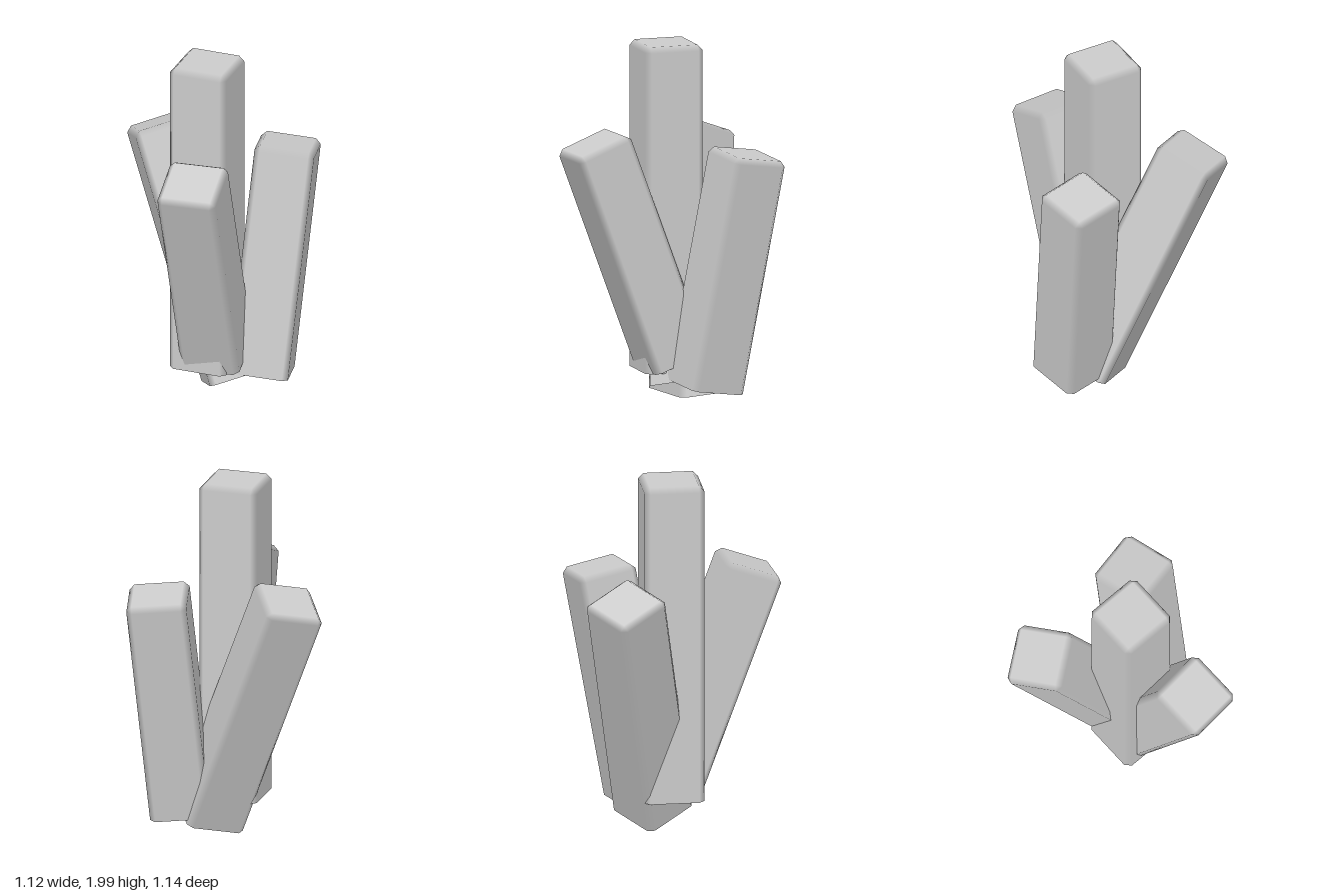
import * as THREE from 'three';

const HALF = 0.165; // half width of a bar
const BEVEL = 0.03;

// Square bar with bevelled long edges and top, open at the base (base at y = 0).
function barGeometry(length) {
  const inner = HALF - BEVEL;
  const pos = [], nor = [], idx = [];
  // base ring and shoulder ring: two points per side
  for (const y of [0, length - BEVEL]) {
    for (let i = 0; i < 8; i++) {
      const a = (i >> 1) * Math.PI / 2, c = Math.cos(a), s = Math.sin(a);
      const t = i % 2 ? inner : -inner;
      pos.push(c * HALF - s * t, y, s * HALF + c * t);
      nor.push(c, 0, s);
    }
  }
  // corners of the flat top
  for (let j = 0; j < 4; j++) {
    const a = j * Math.PI / 2, c = Math.cos(a), s = Math.sin(a);
    pos.push((c + s) * inner, length, (s - c) * inner);
    nor.push(0, 1, 0);
  }
  const top = i => 16 + (Math.floor((i + 1) / 2) % 4);
  for (let i = 0; i < 8; i++) {
    const n = (i + 1) % 8;
    idx.push(i, 8 + i, 8 + n, i, 8 + n, n);
    idx.push(8 + i, top(i), 8 + n);
    if (i % 2 === 0) idx.push(8 + n, top(i), top(n));
  }
  idx.push(16, 18, 17, 16, 19, 18);
  const g = new THREE.BufferGeometry();
  g.setAttribute('position', new THREE.Float32BufferAttribute(pos, 3));
  g.setAttribute('normal', new THREE.Float32BufferAttribute(nor, 3));
  g.setIndex(idx);
  return g;
}

export function createModel() {
  const group = new THREE.Group();
  group.name = 'crystalCluster';
  const material = new THREE.MeshStandardMaterial({ color: 0xcccccc, side: THREE.DoubleSide });

  // each bar runs from the centre of its base to the centre of its top
  const bars = [
    { name: 'centreCrystal', base: [0.04, 0.19, -0.035], tip: [0.04, 2, -0.035], yaw: 0 },
    { name: 'frontCrystal', base: [0.09, 0.25, -0.05], tip: [0.125, 1.48, 0.41], yaw: 5.5 },
    { name: 'backLeftCrystal', base: [0.305, 0.125, -0.17], tip: [0.375, 1.415, -0.393], yaw: 13 },
    { name: 'backRightCrystal', base: [0.165, 0.09, -0.12], tip: [-0.365, 1.435, -0.34], yaw: 34 },
  ];
  const up = new THREE.Vector3(0, 1, 0);
  for (const { name, base, tip, yaw } of bars) {
    const start = new THREE.Vector3(...base);
    const axis = new THREE.Vector3(...tip).sub(start);
    const mesh = new THREE.Mesh(barGeometry(axis.length()), material);
    mesh.name = name;
    mesh.position.copy(start);
    mesh.quaternion.setFromUnitVectors(up, axis.normalize());
    mesh.rotateY(THREE.MathUtils.degToRad(yaw));
    group.add(mesh);
  }
  return group;
}
